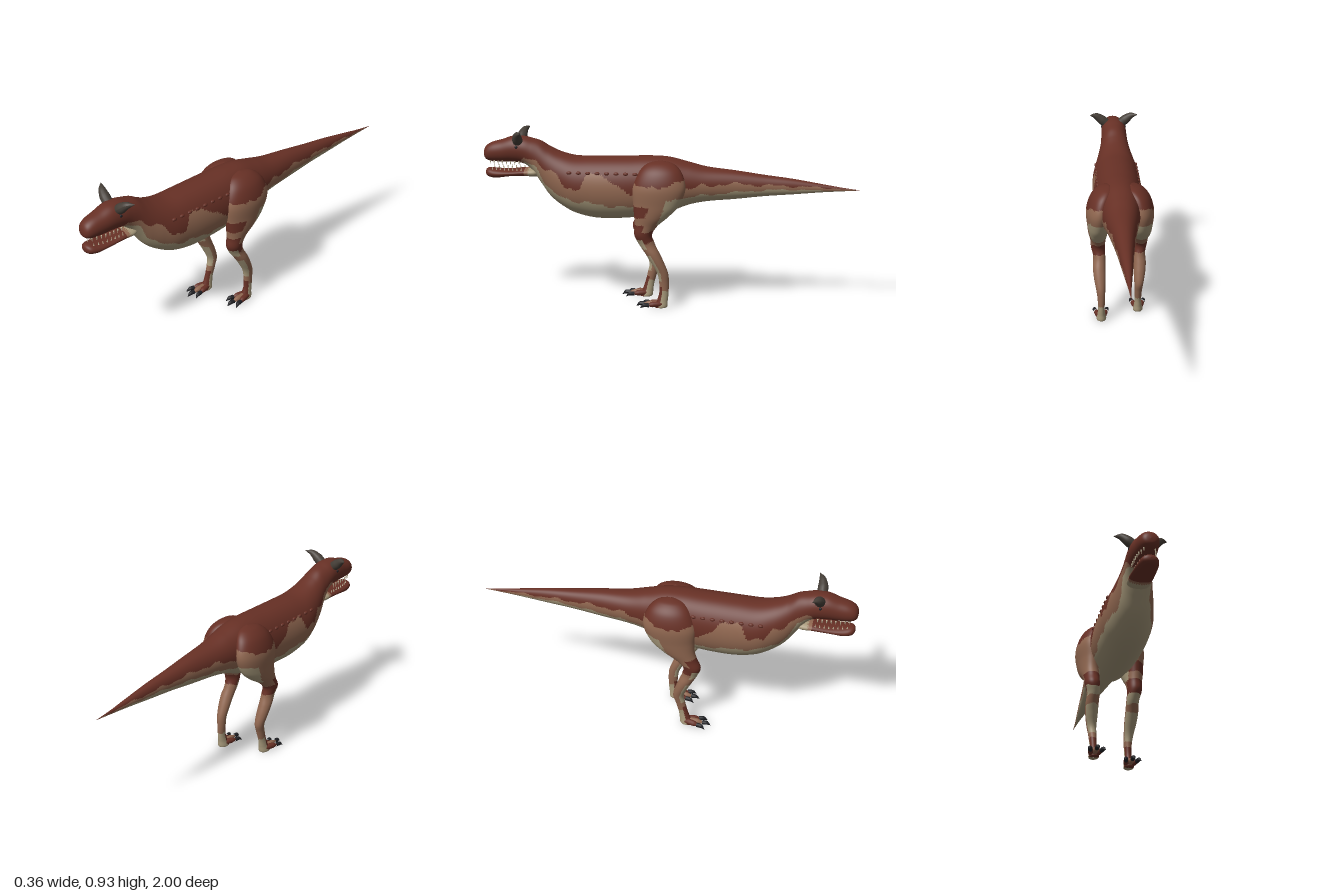
import * as THREE from 'three';

const mat = (name, color, side = THREE.FrontSide) => {
  const m = new THREE.MeshStandardMaterial({ color, side });
  m.name = name;
  return m;
};

// Smooth interpolation through rows of numbers, u from 0 to 1
function sample(rows, u) {
  const f = u * (rows.length - 1), i = Math.min(Math.floor(f), rows.length - 2), t = f - i;
  const at = (k) => rows[Math.max(0, Math.min(rows.length - 1, k))];
  return rows[i].map((_, c) => {
    const a = at(i - 1)[c], b = at(i)[c], d = at(i + 1)[c], e = at(i + 2)[c];
    return b + 0.5 * t * (d - a + t * (2 * a - 5 * b + 4 * d - e + t * (3 * (b - d) + e - a)));
  });
}

// Piecewise linear lookup in [[key, value], ...]
function lookup(table, k) {
  for (let i = 1; i < table.length; i++) {
    const [a, va] = table[i - 1], [b, vb] = table[i];
    if (k <= b) return va + (vb - va) * Math.max(0, (k - a) / (b - a));
  }
  return table[table.length - 1][1];
}

// Skin over cross-sections; paint(point) gives the material index of each face
function loft(rows, ring, steps, sides, paint) {
  const pos = [], groups = [[], [], []];
  for (let i = 0; i <= steps; i++) {
    const row = sample(rows, i / steps);
    for (let j = 0; j < sides; j++) pos.push(...ring(row, (j / sides) * Math.PI * 2));
  }
  const mid = (...v) => [0, 1, 2].map((c) => v.reduce((s, k) => s + pos[k * 3 + c], 0) / v.length);
  for (let i = 0; i < steps; i++) {
    for (let j = 0; j < sides; j++) {
      const a = i * sides + j, b = i * sides + ((j + 1) % sides), c = b + sides, d = a + sides;
      groups[paint(mid(a, b, d))].push(a, b, d);
      groups[paint(mid(b, c, d))].push(b, c, d);
    }
  }
  const g = new THREE.BufferGeometry();
  g.setAttribute('position', new THREE.Float32BufferAttribute(pos, 3));
  g.setIndex(groups.flat());
  let start = 0;
  groups.forEach((list, k) => { g.addGroup(start, list.length, k); start += list.length; });
  g.computeVertexNormals();
  return g;
}

// Tapering tube along a curve, with radii spread evenly along it
function taper(points, radii, sides = 12) {
  const curve = new THREE.CatmullRomCurve3(points.map((p) => new THREE.Vector3(...p)));
  const n = 14, g = new THREE.TubeGeometry(curve, n, 1, sides), p = g.attributes.position, v = new THREE.Vector3();
  for (let i = 0; i < p.count; i++) {
    const t = Math.floor(i / (sides + 1)) / n, c = curve.getPointAt(t);
    v.fromBufferAttribute(p, i).sub(c).multiplyScalar(lookup(radii.map((r, k) => [k / (radii.length - 1), r]), t)).add(c);
    p.setXYZ(i, v.x, v.y, v.z);
  }
  g.computeVertexNormals();
  return g;
}

export function createModel() {
  const root = new THREE.Group();
  root.name = 'hornedDinosaur';
  const red = mat('redBrownHide', 0x673025), tan = mat('tanHide', 0x906750), cream = mat('creamHide', 0xa6987a);
  const horn = mat('hornGrey', 0x453e37), claw = mat('clawBlack', 0x202024), tooth = mat('toothIvory', 0xc4b89c);
  const hide = [red, tan, cream];
  const add = (name, geometry, material, parent = root) => {
    const m = new THREE.Mesh(geometry, material);
    m.name = name;
    parent.add(m);
    return m;
  };
  const wobble = (z, x) => 0.010 * Math.sin(z * 33 + (x > 0 ? 1 : 2.4)) + 0.007 * Math.sin(z * 71 + x * 20);

  // Tail, trunk, neck and upper head: z, top, bottom, half width
  const bodyRows = [
    [-1, 0.642, 0.641, 0.0005], [-0.9, 0.655, 0.634, 0.007], [-0.8, 0.671, 0.627, 0.017], [-0.65, 0.695, 0.613, 0.031],
    [-0.5, 0.713, 0.6, 0.045], [-0.35, 0.733, 0.582, 0.062], [-0.2, 0.75, 0.567, 0.083], [-0.1, 0.774, 0.545, 0.098],
    [0, 0.798, 0.505, 0.115], [0.1, 0.803, 0.482, 0.126], [0.2, 0.8, 0.47, 0.132], [0.3, 0.798, 0.463, 0.134],
    [0.4, 0.796, 0.465, 0.134], [0.5, 0.796, 0.488, 0.13], [0.58, 0.815, 0.53, 0.112], [0.64, 0.842, 0.58, 0.094],
    [0.69, 0.872, 0.65, 0.079], [0.735, 0.885, 0.715, 0.073], [0.78, 0.895, 0.748, 0.071], [0.84, 0.895, 0.756, 0.067],
    [0.9, 0.876, 0.756, 0.06], [0.95, 0.862, 0.757, 0.053], [0.98, 0.846, 0.764, 0.043], [0.995, 0.826, 0.778, 0.026], [1, 0.803, 0.802, 0.0005],
  ];
  const redEdge = [[-1, 0.64], [-0.8, 0.655], [-0.55, 0.665], [-0.3, 0.675], [-0.1, 0.65], [0.03, 0.68], [0.1, 0.62], [0.16, 0.59],
    [0.24, 0.64], [0.3, 0.7], [0.42, 0.72], [0.46, 0.65], [0.54, 0.64], [0.58, 0.7], [0.64, 0.73], [0.7, 0.78], [0.77, 0.785], [0.81, 0.73], [1, 0.6]];
  const creamEdge = [[-1, 0.635], [-0.6, 0.645], [-0.3, 0.625], [-0.1, 0.6], [0.1, 0.54], [0.3, 0.55], [0.5, 0.575], [0.6, 0.6],
    [0.66, 0.66], [0.7, 0.745], [0.77, 0.765], [0.81, 0.7], [1, 0.5]];
  const oval = ([z, top, bottom, w], a) => {
    const s = Math.sin(a), c = Math.cos(a);
    return [w * Math.sign(c) * Math.abs(c) ** 0.92, (top + bottom) / 2 + ((top - bottom) / 2) * s, z];
  };
  const paintBody = ([x, y, z]) => {
    const w = wobble(z, x) * Math.min(1, 1.1 + z);
    if (y > lookup(redEdge, z) + w) return 0;
    return y > lookup(creamEdge, z) + w * 0.6 ? 1 : 2;
  };
  add('body', loft(bodyRows, oval, 260, 88, paintBody), hide);

  // Lower jaw
  const jawRows = [[0.68, 0.71, 0.709, 0.001], [0.71, 0.728, 0.68, 0.055], [0.78, 0.724, 0.682, 0.06], [0.86, 0.716, 0.678, 0.057],
    [0.93, 0.718, 0.668, 0.052], [0.97, 0.722, 0.672, 0.042], [0.987, 0.715, 0.682, 0.024], [0.992, 0.7, 0.699, 0.001]];
  add('lowerJaw', loft(jawRows, oval, 40, 32, ([, , z]) => (z < 0.755 ? 2 : z < 0.77 ? 1 : 0)), hide);

  for (const s of [1, -1]) {
    // Horn and eye
    add('horn', taper([[s * 0.035, 0.863, 0.805], [s * 0.07, 0.892, 0.803], [s * 0.1, 0.915, 0.795], [s * 0.136, 0.927, 0.775]],
      [0.026, 0.027, 0.018, 0.0005], 16), horn);
    const eye = add('eye', new THREE.SphereGeometry(0.008, 12, 8), claw);
    eye.position.set(s * 0.067, 0.845, 0.81);
    eye.scale.x = 0.6;

    // Teeth along both jaws
    for (let i = 0; i < 8; i++) {
      const z = 0.8 + i * 0.023, x = s * (0.05 - 0.022 * (i / 7) ** 3);
      const upper = add('upperTooth', new THREE.ConeGeometry(0.0045, 0.024, 6), tooth);
      upper.position.set(x, 0.755, z);
      upper.rotation.x = Math.PI;
      add('lowerTooth', new THREE.ConeGeometry(0.004, 0.018, 6), tooth).position.set(x * 0.9, 0.724, z - 0.01);
    }

    // Row of scutes along the flank
    for (let i = 0; i < 8; i++) {
      const z = 0.17 + i * 0.05;
      const scute = add('scute', new THREE.SphereGeometry(0.011, 10, 8), red);
      scute.position.set(s * 0.112, 0.722, z);
      scute.scale.set(0.8, 0.8, 1.3);
    }

    // Leg: y, x, z, x radius, z radius; one leg steps forward
    const step = [[0, 0.105], [0.1, 0.1], [0.2, 0.065], [0.3, 0.055], [0.4, 0.04], [0.52, 0]];
    const legRows = [
      [0.002, 0.103, 0.035, 0.001, 0.001], [0.004, 0.103, 0.037, 0.026, 0.034], [0.04, 0.103, 0.028, 0.021, 0.029], [0.08, 0.103, 0.02, 0.018, 0.025],
      [0.14, 0.103, 0.019, 0.021, 0.026], [0.19, 0.106, 0.026, 0.025, 0.029], [0.25, 0.11, 0.053, 0.032, 0.034],
      [0.3, 0.112, 0.08, 0.034, 0.038], [0.35, 0.11, 0.11, 0.033, 0.042], [0.4, 0.116, 0.128, 0.038, 0.047],
      [0.45, 0.116, 0.112, 0.042, 0.06], [0.5, 0.117, 0.085, 0.051, 0.09], [0.56, 0.116, 0.06, 0.059, 0.12],
      [0.65, 0.113, 0.045, 0.068, 0.14], [0.73, 0.097, 0.04, 0.06, 0.115], [0.775, 0.075, 0.04, 0.038, 0.07], [0.79, 0.06, 0.04, 0.001, 0.001],
    ].map(([y, x, z, rx, rz]) => [y, s * x, z + (s < 0 ? lookup(step, y) : 0), rx, rz]);
    const legRing = ([y, x, z, rx, rz], a) => [x + rx * Math.sin(a), y, z + rz * Math.cos(a)];
    const centreZ = legRows.map((r) => [r[0], r[2]]);
    const paintLeg = ([x, y, z]) => {
      const front = z - lookup(centreZ, y), h = y + 0.5 * wobble(z * 1.5, x);
      if (h > 0.46) {
        const outer = Math.abs(x) - 0.1;
        if (h > 0.66 - 0.5 * front * (front > 0 ? -0.3 : 0.6)) return 0;
        if (front < -0.05 || outer < -0.02) return h > 0.6 ? 1 : 2;
        return front > 0.03 && h > 0.5 && h < 0.56 && s > 0 ? 0 : 1;
      }
      if (front < 0.008) return h < 0.1 ? 2 : h > 0.36 && h < 0.42 ? 0 : 1;
      return h > 0.38 ? 0 : h > 0.33 ? 2 : h > 0.29 ? 1 : h > 0.15 ? 2 : h > 0.12 ? 1 : 0;
    };
    const leg = new THREE.Group();
    leg.name = s > 0 ? 'leftLeg' : 'rightLeg';
    root.add(leg);
    add('legSkin', loft(legRows, legRing, 150, 48, paintLeg), hide, leg);

    // Three toes with claws
    const fx = s * 0.104, fz = s > 0 ? 0.035 : 0.14;
    for (const k of [-1, 0, 1]) {
      const reach = k ? 0.075 : 0.1, dx = k * 0.03;
      add('toe', taper([[fx + k * 0.008, 0.022, fz - 0.01], [fx + dx * 0.7, 0.022, fz + reach * 0.5], [fx + dx, 0.017, fz + reach]],
        [0.014, 0.016, 0.015, 0.003]), k ? red : tan, leg);
      add('claw', taper([[fx + dx * 0.95, 0.019, fz + reach - 0.012], [fx + dx * 1.15, 0.019, fz + reach + 0.012], [fx + dx * 1.4, 0.005, fz + reach + 0.033]],
        [0.012, 0.011, 0.0005], 10), claw, leg);
    }
  }
  return root;
}
